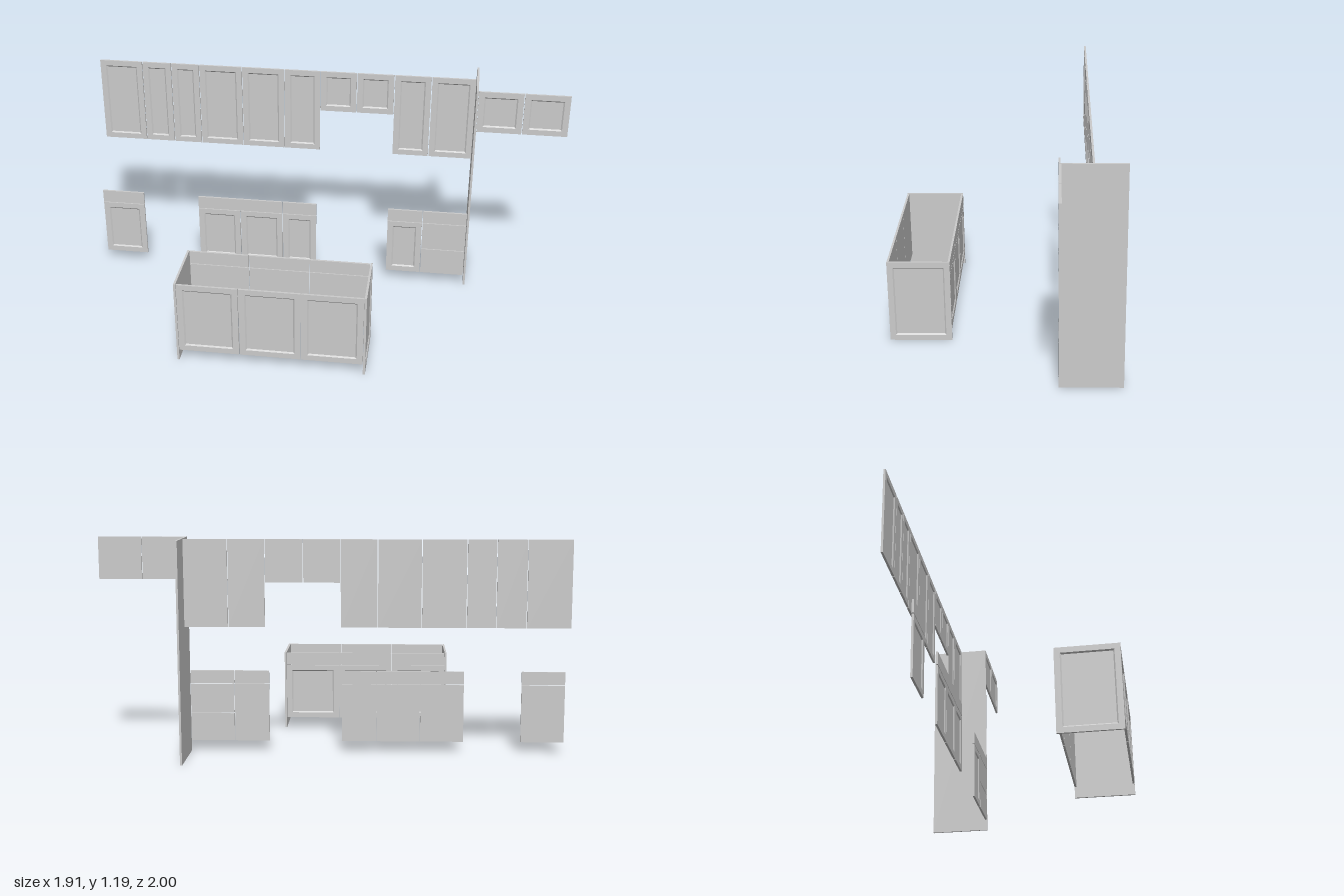
import * as THREE from 'three';

const material = new THREE.MeshStandardMaterial({ color: 0xcccccc, flatShading: true });
const GAP = 0.004, T = 0.011;
const BASE_Z = -0.035, WALL_Z = -0.19;

// Framed front: nested rectangles from the flat back to the recessed centre panel
function framedGeometry(w, h) {
  const loops = [[0, -T / 2], [0, T / 2], [0.03, T / 2], [0.037, T / 2 - 0.006]].map(([inset, z]) => {
    const x = w / 2 - inset, y = h / 2 - inset;
    return [[-x, -y, z], [x, -y, z], [x, y, z], [-x, y, z]];
  });
  const pos = [];
  const quad = (a, b, c, d) => pos.push(...a, ...b, ...c, ...a, ...c, ...d);
  for (let k = 0; k < loops.length - 1; k++) {
    for (let i = 0; i < 4; i++) {
      const j = (i + 1) % 4;
      quad(loops[k][i], loops[k][j], loops[k + 1][j], loops[k + 1][i]);
    }
  }
  quad(...loops[loops.length - 1]);
  quad(...[...loops[0]].reverse());
  const g = new THREE.BufferGeometry();
  g.setAttribute('position', new THREE.Float32BufferAttribute(pos, 3));
  g.computeVertexNormals();
  return g;
}

// One front spanning x0..x1 and y0..y1 at depth z
function addFront(parent, name, x0, x1, y0, y1, z, framed = true, back = false) {
  const w = x1 - x0 - GAP, h = y1 - y0 - GAP;
  const geo = framed ? framedGeometry(w, h) : new THREE.BoxGeometry(w, h, T);
  const mesh = new THREE.Mesh(geo, material);
  mesh.name = name;
  mesh.position.set((x0 + x1) / 2, (y0 + y1) / 2, z);
  if (back) mesh.rotation.y = Math.PI;
  parent.add(mesh);
}

// A row of doors between consecutive edges
function addRow(parent, name, edges, y0, y1, z, framed = true, back = false) {
  for (let i = 0; i < edges.length - 1; i++) {
    addFront(parent, name, edges[i], edges[i + 1], y0, y1, z, framed, back);
  }
}

function section(parent, name) {
  const g = new THREE.Group();
  g.name = name;
  parent.add(g);
  return g;
}

export function createModel() {
  const root = new THREE.Group();
  root.name = 'kitchenCabinetFronts';
  // The whole kitchen stands diagonally
  const kitchen = section(root, 'kitchen');
  kitchen.rotation.y = Math.PI / 4;
  // Converts diagonal x positions to distances along a row
  const along = (z, xs) => xs.map((x) => x * Math.SQRT2 - z);

  // Wall cabinets
  const wall = section(kitchen, 'wallCabinets');
  addRow(wall, 'tallWallDoor', along(WALL_Z, [-0.955, -0.787, -0.673, -0.563, -0.395, -0.23, -0.09]), 0.718, 1.19, WALL_Z);
  addRow(wall, 'shortWallDoor', along(WALL_Z, [-0.09, 0.05, 0.193]), 0.957, 1.19, WALL_Z);
  addRow(wall, 'tallWallDoor', along(WALL_Z, [0.193, 0.333, 0.5]), 0.718, 1.19, WALL_Z);
  addRow(wall, 'fridgeTopDoor', along(BASE_Z, [0.617, 0.785, 0.953]), 0.957, 1.19, BASE_Z);

  // Full-height side panel
  const panel = new THREE.Mesh(new THREE.BoxGeometry(T, 1.19, 0.325), material);
  panel.name = 'tallSidePanel';
  panel.position.set(0.903, 0.595, -0.192);
  kitchen.add(panel);

  // Base cabinets
  const base = section(kitchen, 'baseCabinets');
  const left = along(BASE_Z, [-0.845, -0.675]);
  const middle = along(BASE_Z, [-0.455, -0.285, -0.115, 0.02]);
  const right = along(BASE_Z, [0.3, 0.437, 0.609]);
  for (const edges of [left, middle, right.slice(0, 2)]) {
    addRow(base, 'baseDoor', edges, 0.06, 0.382, BASE_Z);
  }
  addRow(base, 'baseDrawer', left, 0.382, 0.457, BASE_Z, false);
  addRow(base, 'baseDrawer', [middle[0], middle[2], middle[3]], 0.382, 0.457, BASE_Z, false);
  addRow(base, 'baseDrawer', right, 0.382, 0.457, BASE_Z, false);
  for (const [y0, y1] of [[0.06, 0.217], [0.217, 0.382]]) {
    addFront(base, 'deepDrawer', right[1], right[2], y0, y1, BASE_Z, false);
  }

  // Island: doors on the front, drawers over doors on the back, framed ends
  const island = section(kitchen, 'island');
  const x0 = -0.54, x1 = 0.425, z0 = 0.54, z1 = 0.87;
  const a = x0 + T, w = (x1 - x0 - 2 * T) / 3;
  const edges = [a, a + w, a + 2 * w, a + 3 * w];
  addRow(island, 'islandFrontDoor', edges, 0.06, 0.457, z1 - T / 2);
  addRow(island, 'islandBackDoor', edges, 0.06, 0.382, z0 + T / 2, true, true);
  addRow(island, 'islandBackDrawer', edges, 0.382, 0.457, z0 + T / 2, false, true);
  for (const side of [-1, 1]) {
    const end = new THREE.Mesh(framedGeometry(z1 - z0, 0.457), material);
    end.name = side > 0 ? 'islandLeftEnd' : 'islandRightEnd';
    end.rotation.y = side * Math.PI / 2;
    end.position.set(side > 0 ? x1 - T / 2 : x0 + T / 2, 0.2285, (z0 + z1) / 2);
    island.add(end);
  }
  return root;
}
